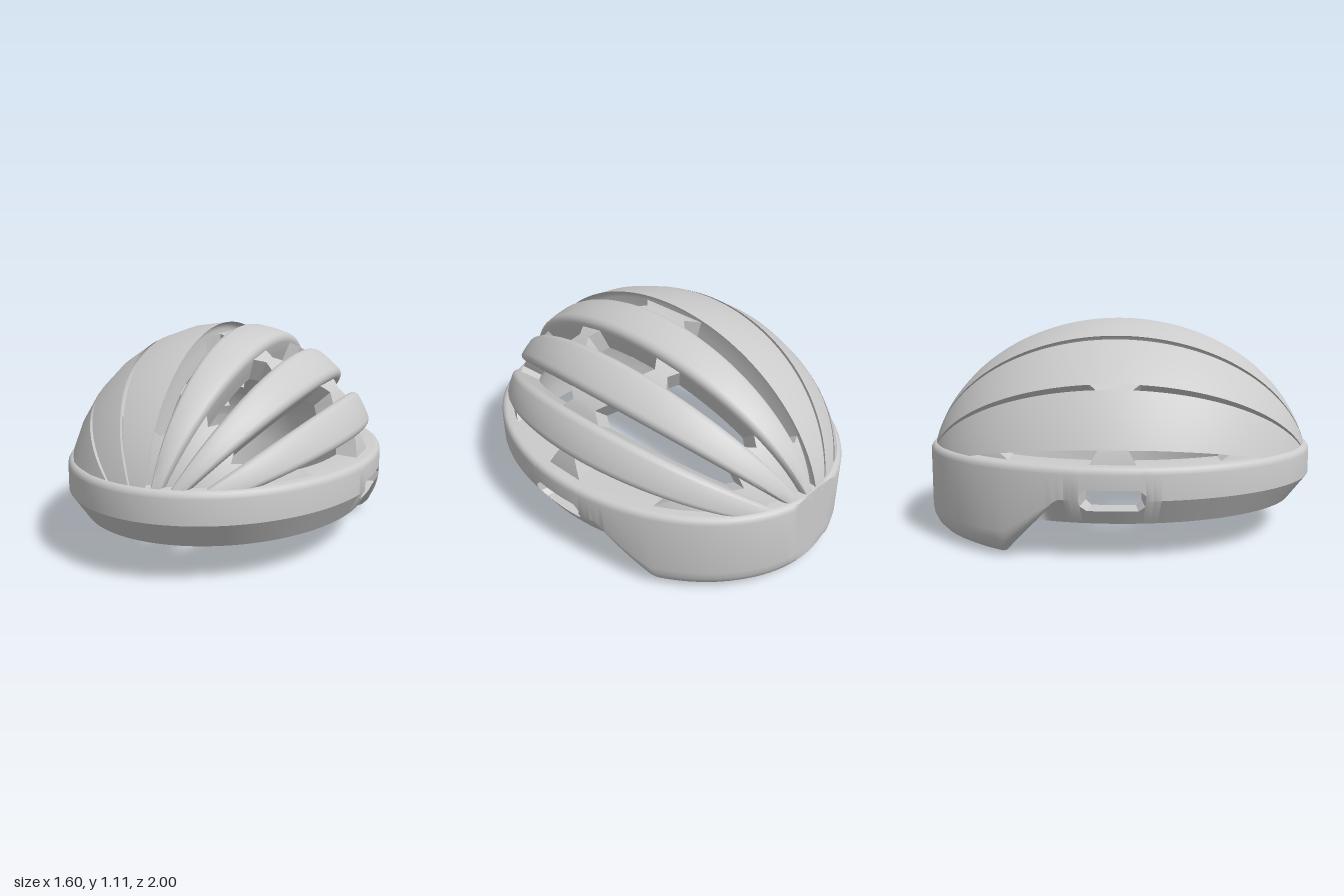
import * as THREE from 'three';
import { toCreasedNormals } from 'three/addons/utils/BufferGeometryUtils.js';

const MAT = new THREE.MeshStandardMaterial({ color: 0xcccccc });
const CY = 0.27, CZ = -0.012;                 // centre of the two ellipsoids
const OUT = [0.8, 0.84, 1.012], INN = [0.65, 0.68, 0.86];
const rad = THREE.MathUtils.degToRad, lerp = THREE.MathUtils.lerp, clamp = THREE.MathUtils.clamp;

// Skin a row of equal-length closed cross-sections, capped at both ends
function loft(sections) {
  const n = sections[0].length, pos = [], idx = [];
  sections.forEach(s => s.forEach(p => pos.push(p[0], p[1], Math.max(p[2], -1))));
  for (let i = 0; i < sections.length - 1; i++)
    for (let j = 0; j < n; j++) {
      const a = i * n + j, b = i * n + (j + 1) % n;
      idx.push(a, b, b + n, a, b + n, a + n);
    }
  [0, sections.length - 1].forEach((row, e) => {
    const c = pos.length / 3;
    const m = [0, 1, 2].map(k => sections[row].reduce((t, p) => t + p[k], 0) / n);
    pos.push(m[0], m[1], Math.max(m[2], -1));
    for (let j = 0; j < n; j++) {
      const a = row * n + j, b = row * n + (j + 1) % n;
      idx.push(...(e ? [a, b, c] : [b, a, c]));
    }
  });
  // turn the faces outward if the enclosed volume is negative
  let vol = 0;
  const v = i => new THREE.Vector3().fromArray(pos, idx[i] * 3);
  for (let i = 0; i < idx.length; i += 3) vol += v(i).dot(v(i + 1).cross(v(i + 2)));
  if (vol < 0) idx.reverse();
  const g = new THREE.BufferGeometry();
  g.setAttribute('position', new THREE.Float32BufferAttribute(pos, 3));
  g.setIndex(idx);
  return toCreasedNormals(g, 0.55);
}

function add(group, name, sections) {
  const m = new THREE.Mesh(loft(sections), MAT);
  m.name = name;
  group.add(m);
}

// Point of the dome: phi from the crown sideways, t from front pole to back, k from inside to outside
const radius = (phi, a, b) => 1 / Math.hypot(Math.sin(phi) / a, Math.cos(phi) / b);
function dome(phi, t, k) {
  const [a, b, c] = OUT.map((o, i) => lerp(INN[i], o, k));
  const r = radius(phi, a, b) * Math.sin(t);
  return [r * Math.sin(phi), CY + r * Math.cos(phi), CZ + c * Math.cos(t)];
}
// Smallest t at which the dome has sunk into the rim
const tMin = phi => Math.asin(Math.min(1, 0.1 / (radius(phi, OUT[0], OUT[1]) * Math.cos(phi))));

// Rib between two angles, with rounded outer corners
function rib(d0, d1) {
  const prof = [[d0, 0], [d0, 0.35]], N = 72, F = 2.9;
  for (let i = 0; i <= 4; i++) {
    const u = i / 4 * Math.PI / 2;
    prof.push([d0 + F * (1 - Math.cos(u)), 0.75 + 0.25 * Math.sin(u)]);
  }
  const half = prof.slice();
  prof.push([(d0 + d1) / 2, 1]);
  half.reverse().forEach(([d, k]) => prof.push([d0 + d1 - d, k]));
  for (let i = 1; i < 5; i++) prof.push([lerp(d1, d0, i / 5), 0]);
  return Array.from({ length: N + 1 }, (_, i) => prof.map(([d, k]) => {
    const phi = rad(d), t0 = tMin(phi);
    return dome(phi, lerp(t0, Math.PI - t0, i / N), k);
  }));
}

// Web filling the gap between two angles; range(f) gives its start and end t across the gap
function web(d0, d1, range, steps = 1) {
  return Array.from({ length: 7 }, (_, i) => {
    const f = i / 6, phi = rad(lerp(d0, d1, f)), lo = tMin(phi);
    const [a, b] = range(f).map(t => clamp(t, lo, Math.PI - lo));
    const top = [], low = [];
    for (let j = 0; j <= steps; j++) {
      const t = lerp(a, b, j / steps);
      top.push(dome(phi, t, 0.74));
      low.unshift(dome(phi, t, 0));
    }
    return [...top, ...low];
  });
}

// Rim: points at plan angle th, as a fraction s of the outer or inner ellipse
const outer = (th, s, y) => [OUT[0] * s * Math.sin(th), y, CZ + OUT[2] * s * Math.cos(th)];
const inner = (th, y) => {
  const q = y > CY ? Math.sqrt(1 - ((y - CY) / INN[1]) ** 2) : 1;
  return [INN[0] * q * Math.sin(th), y, CZ + INN[2] * q * Math.cos(th)];
};
// Lower edge of the upright wall, sloping down into the rear lobe
const edge = (th, s) => clamp(0.31 + (0.27 + CZ + OUT[2] * s * Math.cos(th)) * 1.15, 0, 0.31);
const bevel = y => clamp(1 - 0.095 * (0.31 - y) / 0.125, 0.905, 1);
const rimTop = th => [0, 1, 2, 3, 4].map(i => {
  const u = i / 4 * Math.PI / 2;
  return outer(th, 0.965 + 0.035 * Math.sin(u), 0.43 + 0.035 * Math.cos(u));
});

function rimSection(th) {
  const f = (0.31 - edge(th, 1)) / 0.31, pts = rimTop(th);
  for (let i = 0; i <= 5; i++) {
    const u = i / 5 * Math.PI / 2, s = 1 - 0.13 * f * (1 - Math.cos(u));
    pts.push(outer(th, s, edge(th, s) + 0.13 * f * (1 - Math.sin(u))));
  }
  const s = Math.min(bevel(edge(th, 1)), 1 - 0.13 * f), s2 = Math.min(s, 0.905);
  pts.push(outer(th, s, edge(th, s)));
  pts.push(outer(th, s2, Math.min(0.185, edge(th, s2))));
  const yi = Math.min(0.185, edge(th, 0.84));
  pts.push(inner(th, yi));
  [0.27, 0.36, 0.465].forEach(y => pts.push(inner(th, y)));
  return pts;
}
const arc = (a, b, n) => Array.from({ length: n + 1 }, (_, i) => rimSection(lerp(a, b, i / n)));

export function createModel() {
  const helmet = new THREE.Group();
  helmet.name = 'helmet';

  // Rim with the rear lobe, split at the two side slots
  const slot = Math.PI / 2 - Math.acos(0.153), chamfer = Math.PI / 2 - Math.acos(0.123);
  const H = Math.PI / 2;
  add(helmet, 'frontRim', arc(-H + slot, H - slot, 80));
  add(helmet, 'rearRim', arc(H + slot, 3 * H - slot, 120));
  for (const side of [1, -1]) {
    const offs = [-slot, -chamfer, -chamfer / 2, 0, chamfer / 2, chamfer, slot];
    const above = [], below = [];
    offs.forEach((o, i) => {
      const th = side * (H + o), end = i === 0 || i === offs.length - 1;
      const hi = end ? 0.335 : 0.36, lo = end ? 0.28 : 0.255;
      above.push([...rimTop(th), outer(th, 1, hi), inner(th, hi), inner(th, 0.465)]);
      below.push([outer(th, bevel(lo), lo), outer(th, 0.905, 0.185), inner(th, 0.185), inner(th, lo)]);
    });
    add(helmet, 'rimAboveSlot', above);
    add(helmet, 'rimBelowSlot', below);
  }

  // Three ribs on each side
  const ribs = [[4.5, 20.8], [29, 44.5], [52.5, 67.5]];
  for (const side of [1, -1])
    ribs.forEach(([a, b]) => add(helmet, 'rib', rib(side * a, side * b)));

  // Webs that tie the ribs together: narrow-waisted in the middle, solid towards the ends
  const waist = (t, w, n) => f => {
    const h = lerp(n, w, Math.abs(2 * f - 1));
    return [t - h, t + h];
  };
  const ends = (d0, d1, tEnd) => {
    add(helmet, 'frontWeb', web(d0, d1, f => [0, tEnd(f)], 12));
    add(helmet, 'rearWeb', web(d0, d1, f => [Math.PI - tEnd(f), Math.PI], 12));
  };
  const vee = (t, d) => f => t + d * Math.abs(2 * f - 1);
  add(helmet, 'crownBridge', web(-5, 5, waist(H, 0.2, 0.13)));
  ends(-5, 5, vee(0.52, 0.03));
  for (const s of [1, -1]) {
    for (const t of [1.29, Math.PI - 1.29])
      add(helmet, 'upperBridge', web(s * 20.3, s * 29.5, waist(t, 0.08, 0.04)));
    ends(s * 20.3, s * 29.5, vee(0.66, 0.06));
    add(helmet, 'sideBridge', web(s * 44, s * 53, waist(H, 0.14, 0.08)));
    ends(s * 44, s * 53, vee(0.6, 0.06));
    add(helmet, 'lowerBridge', web(s * 67, s * 80, f => [H - lerp(0.05, 0.15, f), H + lerp(0.05, 0.15, f)]));
    ends(s * 67, s * 80, f => lerp(0.93, 1.15, f));
  }
  return helmet;
}
